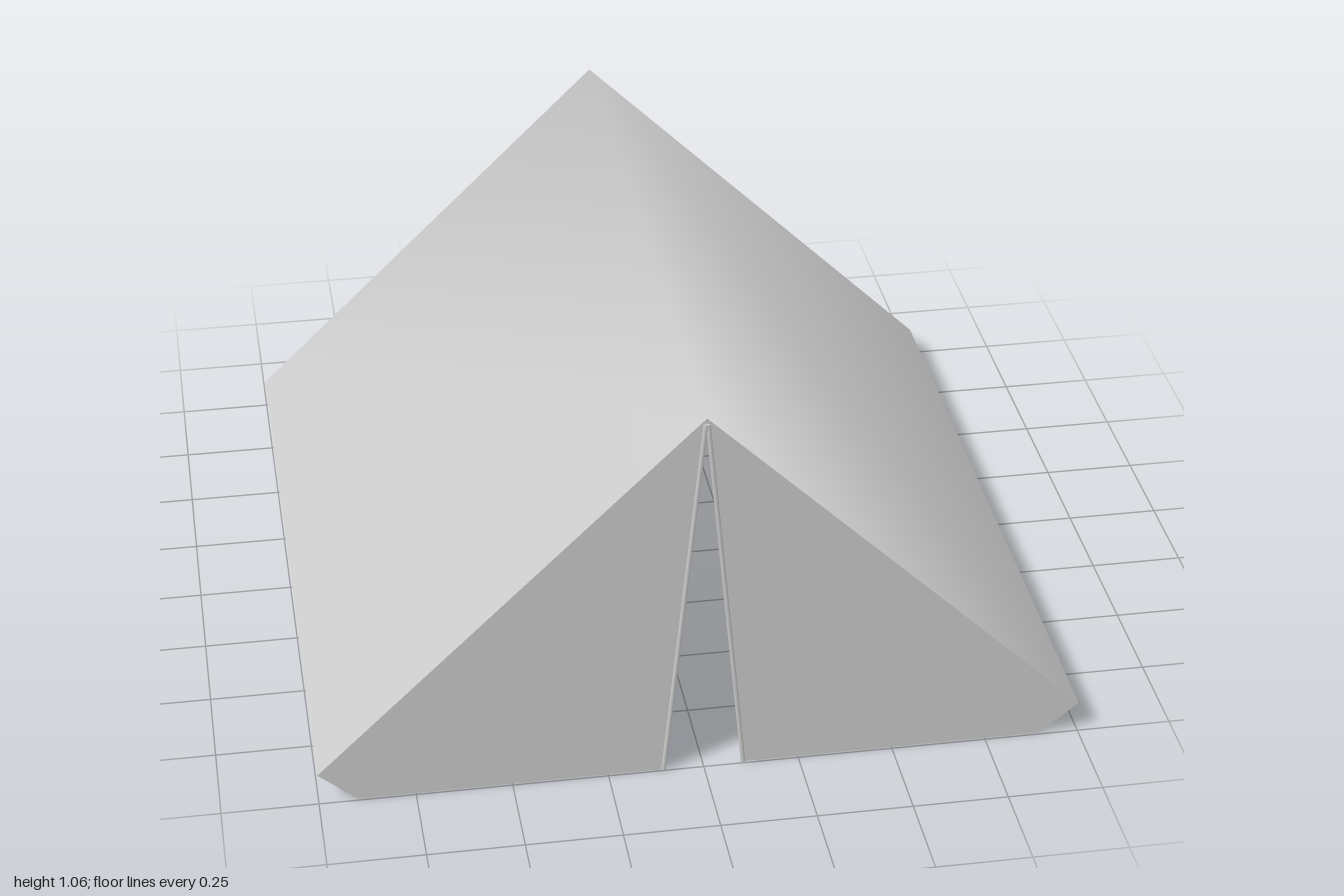
import * as THREE from 'three';

const RIDGE = 1.055, EAVE = 0.085, BASE = 0.9, SLIT = 0.105, END = 0.994, POLE = 0.006;
const material = new THREE.MeshStandardMaterial({ color: 0xcccccc, side: THREE.DoubleSide });

// Cloth sheet: an x/y section swept from back to front, smooth along the section
function sheet(section) {
  const positions = [], index = [];
  section.forEach(([x, y], i) => {
    positions.push(x, y, END, x, y, -END);
    if (i > 0) {
      const a = 2 * i - 2;
      index.push(a, a + 2, a + 1, a + 1, a + 2, a + 3);
    }
  });
  const geometry = new THREE.BufferGeometry();
  geometry.setAttribute('position', new THREE.Float32BufferAttribute(positions, 3));
  geometry.setIndex(index);
  geometry.computeVertexNormals();
  return geometry;
}

export function createModel() {
  const tent = new THREE.Group();
  tent.name = 'tent';
  const add = (name, geometry) => {
    const mesh = new THREE.Mesh(geometry, material);
    mesh.name = name;
    tent.add(mesh);
    return mesh;
  };

  // Roof, with softened shading over the ridge
  add('roof', sheet([[-1, EAVE], [0, RIDGE], [1, EAVE]]));

  for (const side of [1, -1]) {
    const sideName = side > 0 ? 'left' : 'right';

    // Skirt tucked in under the eave
    const skirt = [[side, EAVE], [side * BASE, 0]];
    add(sideName + 'Skirt', sheet(side > 0 ? skirt : skirt.reverse()));

    for (const end of [1, -1]) {
      const name = sideName + (end > 0 ? 'Front' : 'Back');

      // Half of the end wall, cut away beside the door opening
      const outline = [[0, RIDGE], [1, EAVE], [BASE, 0], [SLIT, 0]];
      const shape = new THREE.Shape(outline.map(([x, y]) => new THREE.Vector2(side * x, y)));
      const wall = add(name + 'Wall', new THREE.ShapeGeometry(shape));
      wall.rotation.y = end > 0 ? 0 : Math.PI;
      wall.position.z = end * END;

      // Thin pole along the door edge
      const bottom = new THREE.Vector3(side * SLIT, 0, end * END);
      const top = new THREE.Vector3(side * 0.003, 1.038, end * END);
      const axis = top.clone().sub(bottom);
      const pole = add(name + 'Pole', new THREE.CylinderGeometry(POLE, POLE, axis.length(), 8));
      pole.position.copy(bottom).add(top).multiplyScalar(0.5);
      pole.quaternion.setFromUnitVectors(new THREE.Vector3(0, 1, 0), axis.normalize());
    }
  }
  return tent;
}
